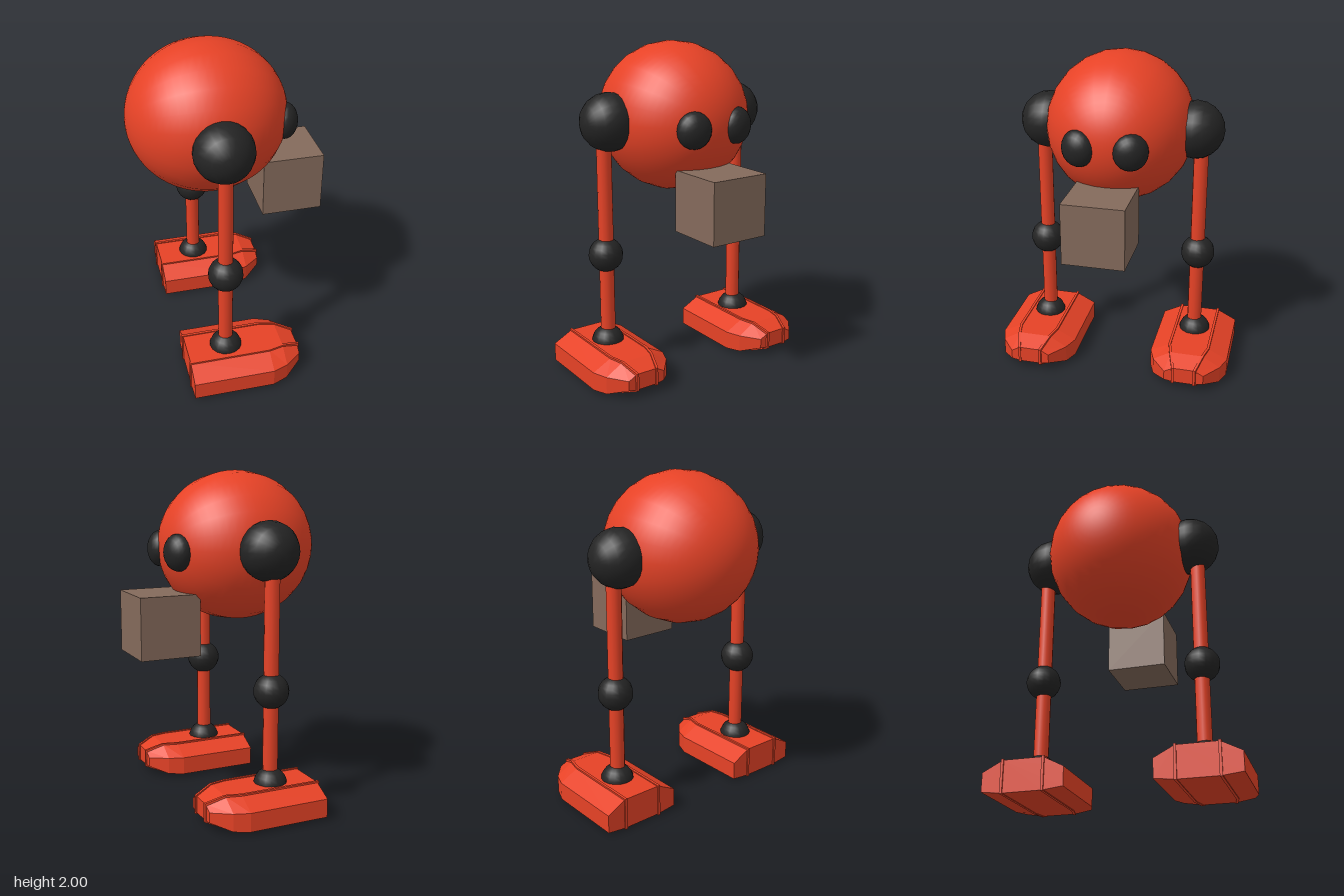
import * as THREE from 'three';

const red = new THREE.MeshStandardMaterial({ color: 0xe64226 });
red.name = 'red paint';
const black = new THREE.MeshStandardMaterial({ color: 0x242424 });
black.name = 'black rubber';
const brown = new THREE.MeshStandardMaterial({ color: 0x846a5b });
brown.name = 'brown box';

function part(name, geometry, material, x = 0, y = 0, z = 0) {
  const mesh = new THREE.Mesh(geometry, material);
  mesh.name = name;
  mesh.position.set(x, y, z);
  return mesh;
}

// Flat-shaded loft along x; every section is { x, points: [[z, y], ...] }
function loft(sections) {
  const n = sections[0].points.length;
  const pos = [];
  const index = [];
  for (const s of sections) for (const [z, y] of s.points) pos.push(s.x, y, z);
  for (let i = 0; i < sections.length - 1; i++) {
    for (let j = 0; j < n; j++) {
      const a = i * n + j, b = i * n + (j + 1) % n;
      index.push(a, b, b + n, a, b + n, a + n);
    }
  }
  const last = (sections.length - 1) * n;
  for (let j = 1; j < n - 1; j++) {
    index.push(0, j + 1, j, last, last + j, last + j + 1);
  }
  const g = new THREE.BufferGeometry();
  g.setAttribute('position', new THREE.Float32BufferAttribute(pos, 3));
  g.setIndex(index);
  const flat = g.toNonIndexed();
  flat.computeVertexNormals();
  return flat;
}

// Foot stations from heel to toe: half width w, ridge offset r, heights
const stations = [
  { x: -0.35, w: 0.244, r: 0.122, top: 0.193, hi: 0.13, lo: 0.018, bot: 0.004 },
  { x: 0.145, w: 0.244, r: 0.122, top: 0.193, hi: 0.13, lo: 0.018, bot: 0.004 },
  { x: 0.237, w: 0.21, r: 0.1, top: 0.193, hi: 0.128, lo: 0.022, bot: 0.004 },
  { x: 0.343, w: 0.122, r: 0.066, top: 0.15, hi: 0.12, lo: 0.06, bot: 0.05 },
];

function makeFoot() {
  const foot = new THREE.Group();
  foot.name = 'foot';
  foot.add(part('footShell', loft(stations.map(({ x, w, r, top, hi, lo, bot }) => ({
    x,
    points: [[-r, top], [r, top], [w, hi], [w, lo], [r, bot], [-r, bot], [-w, lo], [-w, hi]],
  }))), red));
  // Raised seams wrapping the shell from heel to toe
  for (const side of [1, -1]) {
    const seam = stations.map(({ x, r, top, bot }, i) => {
      const z = side * r, t = 0.008, up = top + 0.006, down = bot - 0.004;
      return {
        x: x + [-0.008, 0, 0.003, 0.009][i],
        points: [[z - t, up], [z + t, up], [z + t, down], [z - t, down]],
      };
    });
    foot.add(part('footSeam', loft(seam), red));
  }
  return foot;
}

function makeLeg(side) {
  const leg = new THREE.Group();
  leg.name = side > 0 ? 'leftLeg' : 'rightLeg';
  const x = -0.103, z = 0.495 * side;
  const hip = new THREE.SphereGeometry(0.175, 24, 10).rotateX(Math.PI / 2);
  leg.add(part('hip', hip, black, x, 1.55, 0.452 * side));
  leg.add(part('upperLeg', new THREE.CylinderGeometry(0.045, 0.045, 0.75, 12), red, x, 1.12, 0.491 * side));
  leg.add(part('knee', new THREE.SphereGeometry(0.105, 16, 12), black, x, 0.745, z));
  leg.add(part('lowerLeg', new THREE.CylinderGeometry(0.045, 0.045, 0.5, 12), red, x, 0.48, 0.491 * side));
  leg.add(part('ankle', new THREE.SphereGeometry(0.1, 16, 12), black, x, 0.18, z));
  const foot = makeFoot();
  foot.position.z = 0.497 * side;
  leg.add(foot);
  return leg;
}

export function createModel() {
  const model = new THREE.Group();
  model.name = 'walkingRobot';

  // Round body, slightly longer from front to back
  const ball = new THREE.SphereGeometry(1, 24, 32).rotateZ(-Math.PI / 2).scale(0.477, 0.452, 0.45);
  model.add(part('body', ball, red, -0.102, 1.549, 0));

  for (const side of [1, -1]) {
    // Flattened eyes set into the body
    const eyeShape = new THREE.SphereGeometry(1, 20, 12).rotateZ(-Math.PI / 2).scale(0.077, 0.11, 0.103);
    const eye = part('eye', eyeShape, black, 0.33, 1.532, 0.152 * side);
    eye.rotation.y = -0.3 * side;
    model.add(eye);
    model.add(makeLeg(side));
  }

  // Box held at the front
  model.add(part('box', new THREE.BoxGeometry(0.371, 0.371, 0.371), brown, 0.389, 1.1, 0.008));
  return model;
}
